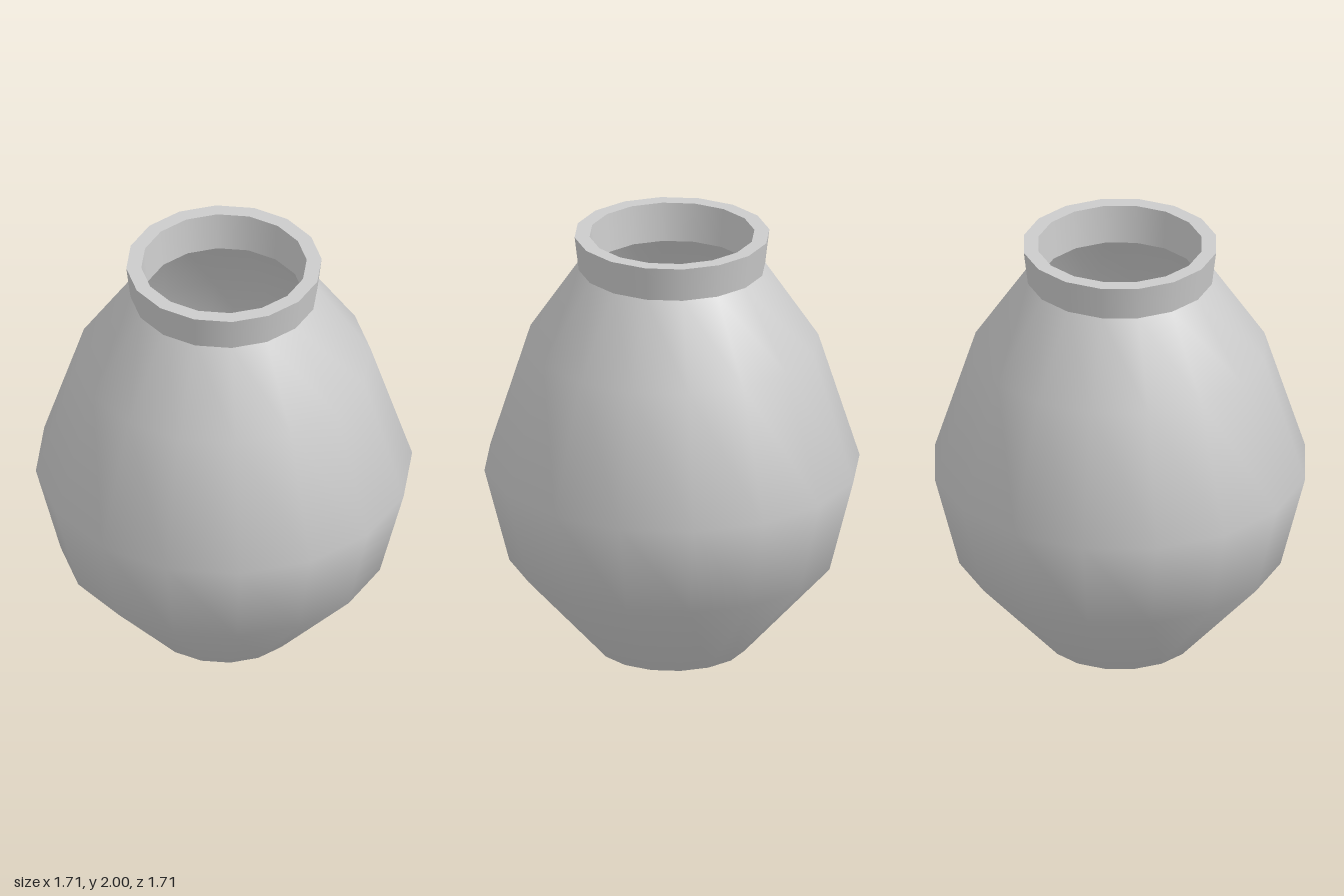
import * as THREE from 'three';

const SIDES = 16;

export function createModel() {
  const group = new THREE.Group();
  group.name = 'vase';
  const material = new THREE.MeshStandardMaterial({ color: 0xcccccc });

  // Each part is one smooth band of [radius, height]; edges between parts stay sharp
  const addBand = (name, profile) => {
    const points = profile.map(([r, y]) => new THREE.Vector2(r, y));
    const mesh = new THREE.Mesh(new THREE.LatheGeometry(points, SIDES), material);
    mesh.name = name;
    group.add(mesh);
  };

  // Outside, from the base up
  addBand('base', [[0, 0.005], [0.34, 0.005]]);
  addBand('body', [[0.34, 0.005], [0.74, 0.445], [0.853, 0.885], [0.665, 1.48], [0.424, 1.84]]);
  addBand('neck', [[0.424, 1.84], [0.443, 2]]);
  addBand('rim', [[0.443, 2], [0.375, 2]]);

  // Inside, from the rim down
  addBand('innerNeck', [[0.375, 2], [0.36, 1.82]]);
  addBand('innerBody', [[0.36, 1.82], [0.6, 1.45], [0.78, 0.885], [0.675, 0.48], [0.255, 0.075]]);
  addBand('innerFloor', [[0.255, 0.075], [0, 0.075]]);

  return group;
}
